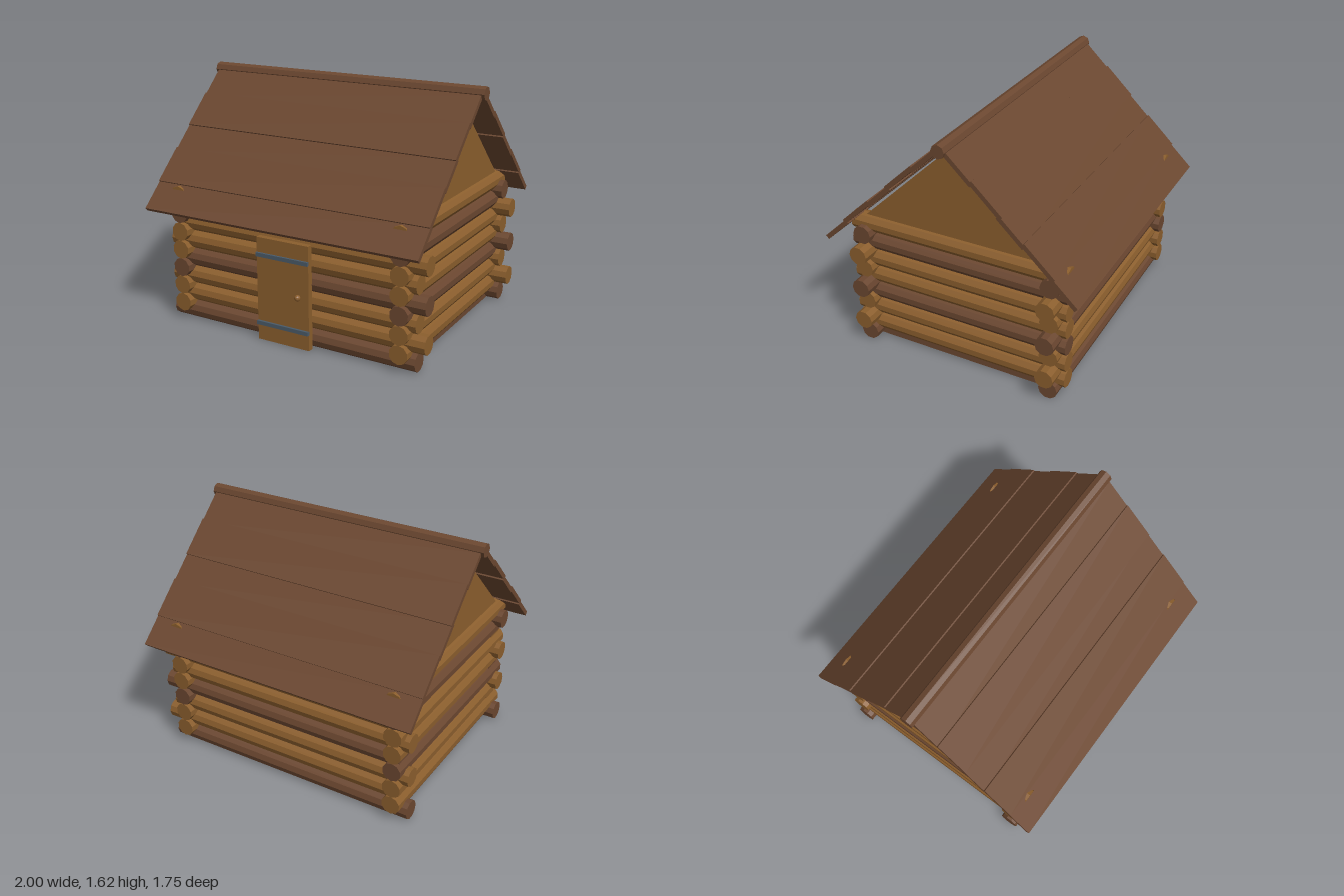
import * as THREE from 'three';

const paint = (name, color) => {
  const m = new THREE.MeshStandardMaterial({ color });
  m.name = name;
  return m;
};

export function createModel() {
  const cabin = new THREE.Group();
  cabin.name = 'logCabin';
  const light = paint('lightWood', 0x8b5e2d);
  const dark = paint('darkWood', 0x6b4730);
  const iron = paint('iron', 0x4a5a68);
  light.flatShading = dark.flatShading = true;

  const add = (name, geometry, material, x, y, z, parent = cabin) => {
    const mesh = new THREE.Mesh(geometry, material);
    mesh.name = name;
    mesh.position.set(x, y, z);
    parent.add(mesh);
    return mesh;
  };
  const box = (w, h, d) => new THREE.BoxGeometry(w, h, d);

  // Interlocking ten-sided logs; every third one is dark
  const R = 0.063, STEP = 0.1235;
  const longLog = new THREE.CylinderGeometry(R, R, 1.8, 10).rotateZ(Math.PI / 2);
  const crossLog = new THREE.CylinderGeometry(R, R, 1.5, 10).rotateX(Math.PI / 2);
  for (let i = 0; i < 7; i++) {
    for (const s of [-1, 1]) {
      add('longWallLog', longLog, i % 3 === 0 ? dark : light, i % 2 ? 0.06 : 0, 0.061 + i * STEP, s * 0.655);
      add('sideWallLog', crossLog, i % 3 === 2 ? dark : light, s * 0.805, 0.122 + i * STEP, 0);
    }
  }

  // Floor
  add('floor', box(1.62, 0.06, 1.31), dark, 0, 0.031, 0);

  // Triangular gables
  const gableShape = new THREE.Shape();
  gableShape.moveTo(-0.72, 0.86);
  gableShape.lineTo(0.72, 0.86);
  gableShape.lineTo(0, 1.545);
  const gable = new THREE.ExtrudeGeometry(gableShape, { depth: 0.04, bevelEnabled: false });
  gable.translate(0, 0, -0.02).rotateY(Math.PI / 2);
  for (const s of [-1, 1]) add('gable', gable, light, s * 0.805, 0, 0);

  // Roof slopes of five planks, the even ones lying lower
  const PITCH = Math.atan2(0.79, 0.83), PLANK = 0.229;
  for (const s of [-1, 1]) {
    const slope = new THREE.Group();
    slope.name = 'roofSlope';
    slope.position.set(0, 0.764, 0.852);
    slope.rotation.x = PITCH;
    const side = new THREE.Group();
    side.name = s > 0 ? 'frontRoof' : 'backRoof';
    if (s < 0) side.rotation.y = Math.PI;
    for (let i = 0; i < 5; i++) {
      const length = PLANK + (i % 2 ? 0.04 : 0);
      add('roofPlank', box(1.96, 0.03, length), dark, 0, 0.015 + (i % 2 ? 0.01 : 0), -(i + 0.5) * PLANK, slope);
    }
    side.add(slope);
    cabin.add(side);
  }

  // Ridge pole
  add('ridgePole', new THREE.CylinderGeometry(0.045, 0.045, 2, 8).rotateZ(Math.PI / 2), dark, 0, 1.58, 0);

  // Door with iron straps and knob
  add('door', box(0.38, 0.69, 0.04), light, 0, 0.346, 0.735);
  for (const y of [0.12, 0.58]) add('doorStrap', box(0.38, 0.026, 0.02), iron, 0, y, 0.76);
  add('doorKnob', new THREE.SphereGeometry(0.02, 10, 8), light, 0.12, 0.35, 0.773);

  return cabin;
}
